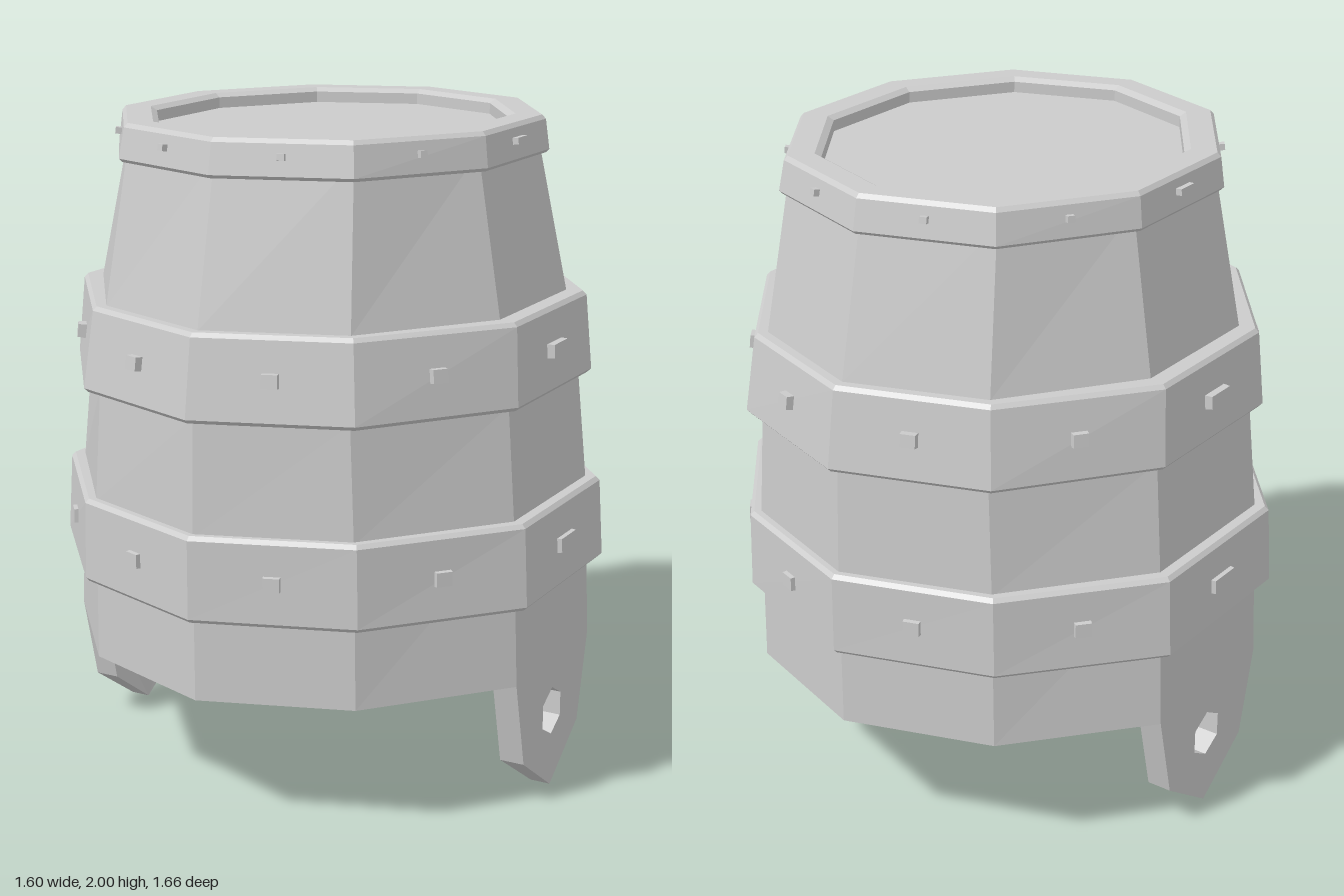
import * as THREE from 'three';

const material = new THREE.MeshStandardMaterial({ color: 0xcccccc, flatShading: true });

// Ten-sided ring: point at +-z, flat faces at +-x.
// a = z of the point, p = x of the second corner, X = x of the side face, w = its half width
function ring(y, a, p, X, w) {
  const q = a * 0.81;
  return [[0, a], [p, q], [X, w], [X, -w], [p, -q], [0, -a], [-p, -q], [-X, -w], [-X, w], [-p, q]]
    .map(([x, z]) => new THREE.Vector3(x, y, z));
}

// The same ring pushed inwards by d
function inset(r, d, y = r[0].y) {
  const s = 1 - d / r[0].z;
  return r.map(v => new THREE.Vector3(v.x * s, y, v.z * s));
}

const centre = y => ring(y, 0, 0, 0, 0);

// Skin through a list of rings
function loft(rings, name) {
  const pts = [];
  for (let k = 0; k < rings.length - 1; k++) {
    const lo = rings[k], hi = rings[k + 1];
    for (let i = 0; i < 10; i++) {
      const j = (i + 1) % 10;
      pts.push(lo[i], lo[j], hi[j], lo[i], hi[j], hi[i]);
    }
  }
  const geometry = new THREE.BufferGeometry().setFromPoints(pts);
  geometry.computeVertexNormals();
  const mesh = new THREE.Mesh(geometry, material);
  mesh.name = name;
  return mesh;
}

// Bevelled hoop with a closed inner face
function hoop(bottom, top, name) {
  const y0 = bottom[0].y, y1 = top[0].y, b = 0.012;
  return loft([
    inset(top, 0.07), inset(bottom, 0.07), inset(bottom, b), inset(bottom, 0, y0 + b),
    inset(top, 0, y1 - b), inset(top, b), inset(top, 0.07),
  ], name);
}

// Small block whose outer face is slightly narrower
function studGeometry(width, height) {
  const geometry = new THREE.BoxGeometry(width, height, 0.04);
  const pos = geometry.attributes.position;
  for (let i = 0; i < pos.count; i++) {
    if (pos.getZ(i) > 0) pos.setXY(i, pos.getX(i) * 0.88, pos.getY(i) * 0.88);
  }
  return geometry;
}

// One stud in the middle of every face, leaning with it; the side faces get wide ones
function studs(bottom, top, y, size, sideWidth, rise, name) {
  const group = new THREE.Group();
  group.name = name;
  const t = (y - bottom[0].y) / (top[0].y - bottom[0].y);
  for (let i = 0; i < 10; i++) {
    const j = (i + 1) % 10;
    const low = bottom[i].clone().lerp(bottom[j], 0.5);
    const up = top[i].clone().lerp(top[j], 0.5).sub(low);
    const along = bottom[j].clone().sub(bottom[i]);
    const normal = along.cross(up).normalize();
    const stud = new THREE.Mesh(studGeometry(i % 5 === 2 ? sideWidth : size * 1.15, size), material);
    stud.position.copy(low).addScaledVector(up, t).addScaledVector(normal, rise - 0.02);
    stud.rotation.order = 'YXZ';
    stud.rotation.y = Math.atan2(normal.x, normal.z);
    stud.rotation.x = -Math.asin(normal.y);
    stud.name = 'stud';
    group.add(stud);
  }
  return group;
}

// Pointed side lug with a six-sided hole, thinner at the tip
function lug(side) {
  const shape = new THREE.Shape([[-0.265, 0.41], [-0.2, 0.14], [0, 0], [0.2, 0.14], [0.265, 0.41]]
    .map(([x, y]) => new THREE.Vector2(x, y)));
  const hole = [];
  for (let i = 0; i < 6; i++) {
    const t = Math.PI / 2 - i * Math.PI / 3;
    hole.push(new THREE.Vector2(0.075 * Math.cos(t), 0.24 + 0.075 * Math.sin(t)));
  }
  shape.holes.push(new THREE.Path(hole));
  const geometry = new THREE.ExtrudeGeometry(shape, { depth: 0.076, bevelEnabled: false });
  geometry.translate(0, 0, 0.684);
  const pos = geometry.attributes.position;
  for (let i = 0; i < pos.count; i++) {
    if (pos.getY(i) < 0.01 && pos.getZ(i) < 0.72) pos.setZ(i, 0.698);
  }
  geometry.computeVertexNormals();
  const mesh = new THREE.Mesh(geometry, material);
  mesh.rotation.y = side * Math.PI / 2;
  mesh.name = side > 0 ? 'leftLug' : 'rightLug';
  return mesh;
}

export function createModel() {
  const model = new THREE.Group();
  model.name = 'barrel';

  // Hollow staves, open underneath, closed by the underside of the lid
  const outer = [
    ring(0.41, 0.8, 0.437, 0.76, 0.265),
    ring(0.9, 0.8, 0.43, 0.739, 0.262),
    ring(1.24, 0.788, 0.412, 0.709, 0.25),
    ring(1.48, 0.756, 0.4, 0.67, 0.235),
    ring(1.94, 0.658, 0.365, 0.58, 0.203),
  ];
  const inner = outer.map(r => inset(r, 0.08)).reverse();
  model.add(loft([centre(1.94), ...inner, ...outer], 'staves'));

  // Top rim, bevelled on both edges, with the recessed lid
  const rimBottom = ring(1.89, 0.69, 0.38, 0.613, 0.212);
  const rimTop = ring(2, 0.672, 0.37, 0.602, 0.207);
  const lidEdge = ring(2, 0.588, 0.315, 0.515, 0.185);
  model.add(loft([
    inset(rimBottom, 0.06), inset(rimBottom, 0.01), inset(rimBottom, 0, 1.9),
    inset(rimTop, 0, 1.988), inset(rimTop, 0.012),
    lidEdge, inset(lidEdge, 0.02, 1.988), inset(lidEdge, 0.02, 1.955), centre(1.96),
  ], 'rimAndLid'));
  model.add(studs(rimBottom, rimTop, 1.952, 0.021, 0.075, 0.017, 'rimStuds'));

  // Two broad hoops
  const midBottom = ring(1.232, 0.828, 0.445, 0.745, 0.265);
  const midTop = ring(1.482, 0.795, 0.425, 0.729, 0.25);
  model.add(hoop(midBottom, midTop, 'middleHoop'));
  model.add(studs(midBottom, midTop, 1.36, 0.044, 0.108, 0.022, 'middleStuds'));

  const lowBottom = ring(0.652, 0.832, 0.457, 0.793, 0.28);
  const lowTop = ring(0.908, 0.83, 0.452, 0.78, 0.275);
  model.add(hoop(lowBottom, lowTop, 'lowerHoop'));
  model.add(studs(lowBottom, lowTop, 0.783, 0.047, 0.118, 0.014, 'lowerStuds'));

  // Side lugs
  for (const side of [-1, 1]) model.add(lug(side));
  return model;
}
